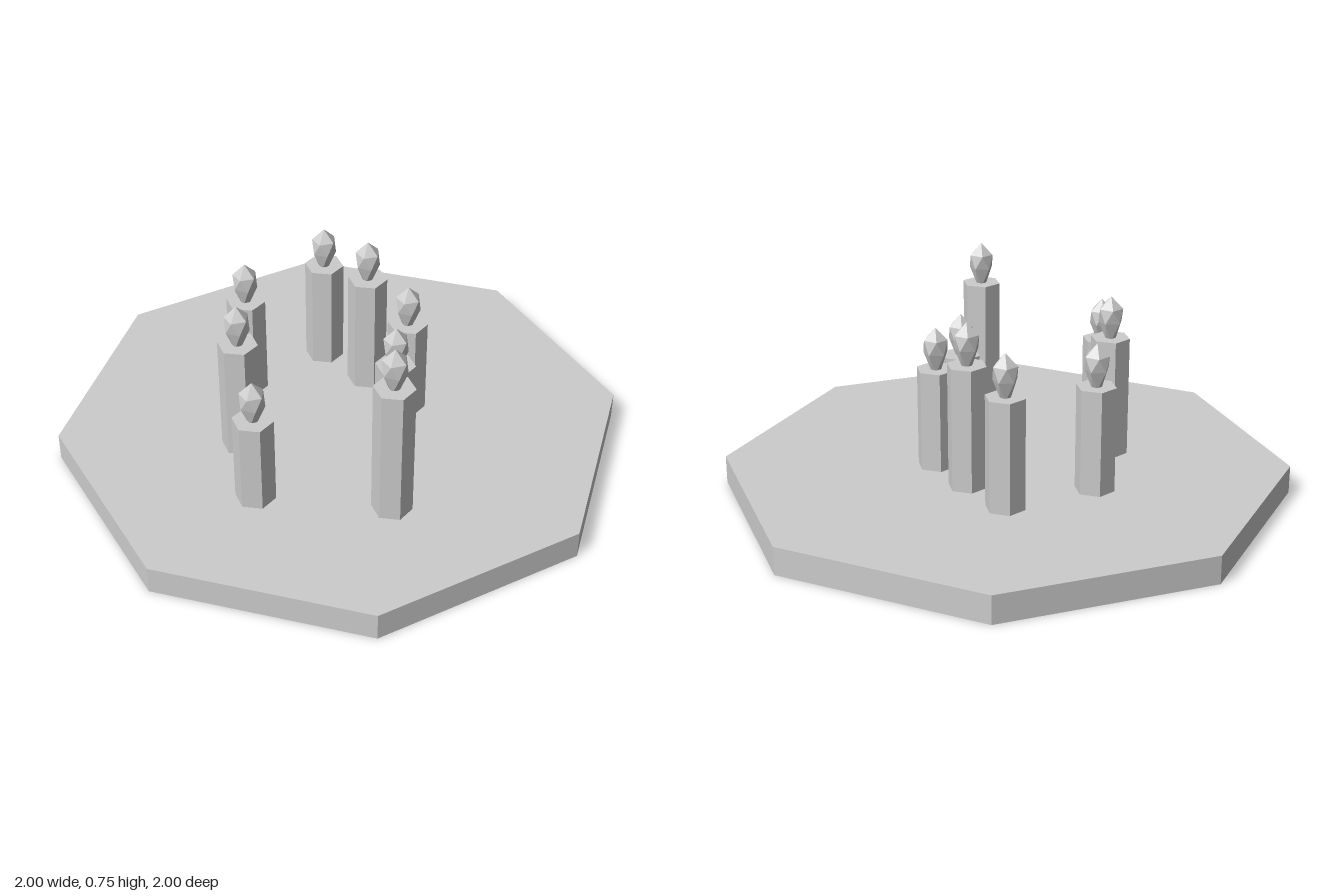
import * as THREE from 'three';

// Faceted flame: staggered five-sided rings closed by a tip
function flameGeometry() {
  const rings = [
    { y: -0.01, r: 0.016, turn: 0 },
    { y: 0.058, r: 0.043, turn: 0.5 },
    { y: 0.107, r: 0.043, turn: 0 },
    { y: 0.15, r: 0, turn: 0.5 },
  ];
  const point = (k, i) => {
    const { y, r, turn } = rings[k];
    const a = ((i + turn) / 5) * Math.PI * 2;
    return [r * Math.cos(a), y, -r * Math.sin(a)];
  };
  const positions = [];
  for (let k = 0; k < 3; k++) {
    // offset of the upper corner lying between two lower corners
    const s = rings[k].turn ? 1 : 0;
    for (let i = 0; i < 5; i++) {
      positions.push(...point(k, i), ...point(k, i + 1), ...point(k + 1, i + s));
      if (k < 2) positions.push(...point(k, i + 1), ...point(k + 1, i + s + 1), ...point(k + 1, i + s));
    }
  }
  const geometry = new THREE.BufferGeometry();
  geometry.setAttribute('position', new THREE.Float32BufferAttribute(positions, 3));
  geometry.computeVertexNormals();
  return geometry;
}

export function createModel() {
  const model = new THREE.Group();
  model.name = 'candlePlatter';
  const grey = new THREE.MeshStandardMaterial({ color: 0xcccccc, flatShading: true });
  grey.name = 'light grey';

  // Octagonal base slab
  const baseHeight = 0.1;
  const base = new THREE.Mesh(new THREE.CylinderGeometry(1, 1, baseHeight, 8), grey);
  base.name = 'base';
  base.position.y = baseHeight / 2;
  model.add(base);

  // Candles: x, z, height of the top
  const candles = [
    [-0.28, -0.26, 0.495], [-0.063, -0.235, 0.54], [0.145, -0.195, 0.46], [0.24, 0.002, 0.44],
    [-0.375, 0.065, 0.475], [-0.175, 0.335, 0.532], [0.045, 0.517, 0.43], [0.438, 0.277, 0.605],
  ];
  const flameShape = flameGeometry();
  for (const [x, z, top] of candles) {
    const candle = new THREE.Group();
    candle.name = 'candle';
    candle.position.set(x, 0, z);
    const height = top - baseHeight;
    const stick = new THREE.Mesh(new THREE.CylinderGeometry(0.07, 0.07, height, 6), grey);
    stick.name = 'candleStick';
    stick.position.y = baseHeight + height / 2;
    const flame = new THREE.Mesh(flameShape, grey);
    flame.name = 'flame';
    flame.position.y = top;
    candle.add(stick, flame);
    model.add(candle);
  }
  return model;
}
